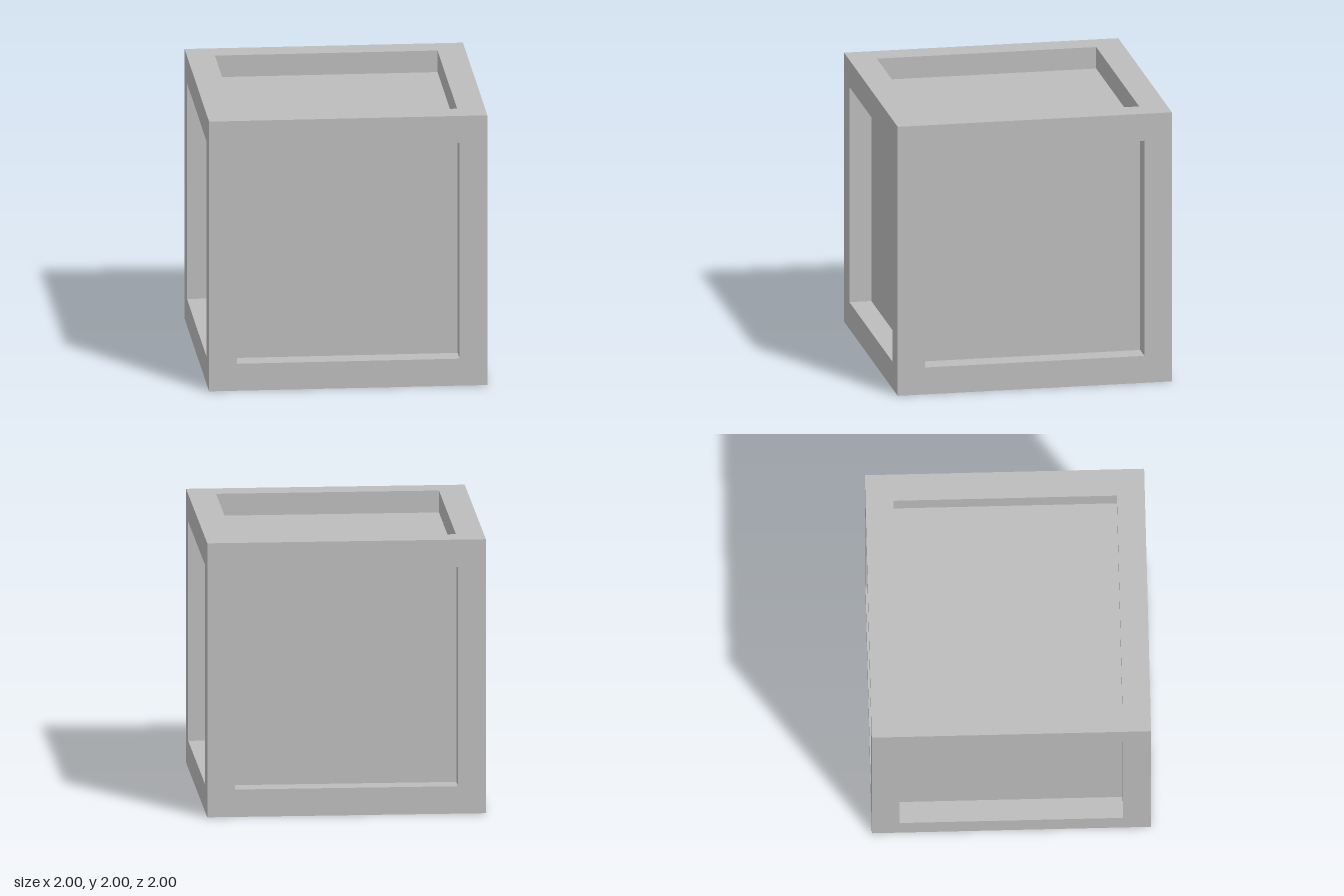
import * as THREE from 'three';

const HALF = 1;       // half the crate's side
const OPENING = 0.8;  // half the side of each recess
const DEPTH = 0.16;   // depth of each recess

function squarePath(path, h) {
  path.moveTo(-h, -h);
  path.lineTo(h, -h);
  path.lineTo(h, h);
  path.lineTo(-h, h);
  path.closePath();
  return path;
}

export function createModel() {
  const model = new THREE.Group();
  model.name = 'crate';

  const grey = new THREE.MeshStandardMaterial({ color: 0xbcbcbc });
  grey.name = 'light grey';

  // Square border around each recess
  const frameShape = squarePath(new THREE.Shape(), HALF);
  frameShape.holes.push(squarePath(new THREE.Path(), OPENING));
  const frameGeo = new THREE.ShapeGeometry(frameShape);
  const panelGeo = new THREE.PlaneGeometry(2 * OPENING, 2 * OPENING);
  // Lower wall of a recess, facing its middle
  const wallGeo = new THREE.PlaneGeometry(2 * OPENING, DEPTH)
    .rotateX(-Math.PI / 2)
    .translate(0, -OPENING, HALF - DEPTH / 2);

  // One side of the crate, facing +z before it is turned
  function makeSide(name, rx, ry) {
    const side = new THREE.Group();
    side.name = name;
    const add = (part, geo) => {
      const mesh = new THREE.Mesh(geo, grey);
      mesh.name = part;
      side.add(mesh);
      return mesh;
    };
    add('frame', frameGeo).position.z = HALF;
    add('panel', panelGeo).position.z = HALF - DEPTH;
    for (let i = 0; i < 4; i++) add('recessWall', wallGeo).rotation.z = (i * Math.PI) / 2;
    side.rotation.set(rx, ry, 0);
    side.position.y = HALF;
    model.add(side);
  }

  const q = Math.PI / 2;
  makeSide('frontSide', 0, 0);
  makeSide('leftSide', 0, q);
  makeSide('backSide', 0, 2 * q);
  makeSide('rightSide', 0, -q);
  makeSide('topSide', -q, 0);
  makeSide('bottomSide', q, 0);

  return model;
}
